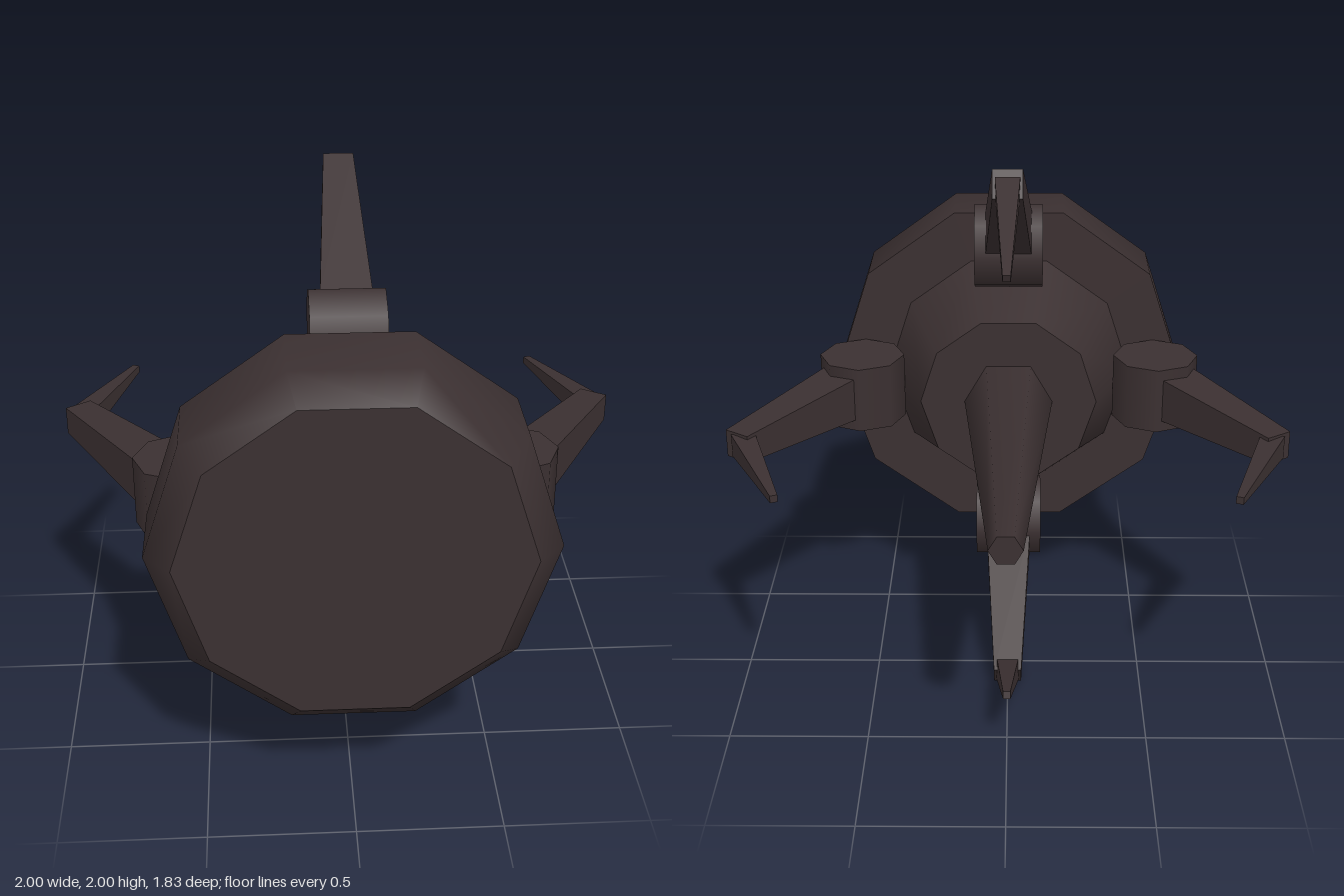
import * as THREE from 'three';
import { toCreasedNormals } from 'three/addons/utils/BufferGeometryUtils.js';

const hull = new THREE.MeshStandardMaterial({ color: 0x3b3031 });
hull.name = 'dark hull';

function part(name, geometry, z = 0) {
  const mesh = new THREE.Mesh(geometry, hull);
  mesh.name = name;
  mesh.position.z = z;
  return mesh;
}

// Frustum along z, with a corner on the x axis
function frustum(rFront, rBack, zFront, zBack, sides) {
  return new THREE.CylinderGeometry(rFront, rBack, zFront - zBack, sides, 1, false, Math.PI / 2)
    .rotateX(Math.PI / 2)
    .translate(0, 0, (zFront + zBack) / 2);
}

// Tapered square bar between two [y, z] points, given its half widths
function taperedBar([y0, z0], [y1, z1], half0, half1) {
  const dy = y1 - y0, dz = z1 - z0;
  const bar = new THREE.CylinderGeometry(
    half1 * Math.SQRT2, half0 * Math.SQRT2, Math.hypot(dy, dz), 4, 1, false, Math.PI / 4);
  bar.rotateX(Math.atan2(dz, dy)).translate(0, (y0 + y1) / 2, (z0 + z1) / 2);
  return toCreasedNormals(bar, 0.8);
}

export function createModel() {
  const model = new THREE.Group();
  model.name = 'clawedPod';
  const core = new THREE.Group();
  core.name = 'core';
  core.position.y = 1;
  model.add(core);

  // Ten-sided drum with a bevelled front rim
  const rim = [[0.67, 0.555], [0.67, 0.825], [0.58, 0.915]].map(p => new THREE.Vector2(...p));
  core.add(part('drumSide', new THREE.LatheGeometry(rim, 10, Math.PI / 2).rotateX(Math.PI / 2)));
  core.add(part('drumFront', new THREE.CircleGeometry(0.58, 10), 0.915));
  core.add(part('drumBack', new THREE.CircleGeometry(0.67, 10).rotateY(Math.PI), 0.555));

  // Tapered rear housing and long tail spike
  core.add(part('rearHousing', frustum(0.47, 0.33, 0.555, 0.235, 10)));
  core.add(part('tailSpike', frustum(0.165, 0.056, 0.235, -0.915, 6)));

  // Four jointed claws around the rear
  for (let i = 0; i < 4; i++) {
    const claw = new THREE.Group();
    claw.name = 'clawArm' + (i + 1);
    claw.rotation.z = i * Math.PI / 2;
    const joint = new THREE.CylinderGeometry(0.16, 0.16, 0.25, 8).rotateZ(Math.PI / 2);
    claw.add(part('joint', joint.translate(0, 0.56, 0.395)));
    claw.add(part('upperArm', taperedBar([0.63, 0.318], [0.956, -0.165], 0.085, 0.051)));
    claw.add(part('clawTip', taperedBar([0.938, -0.143], [0.77, -0.57], 0.042, 0.013)));
    core.add(claw);
  }
  return model;
}
